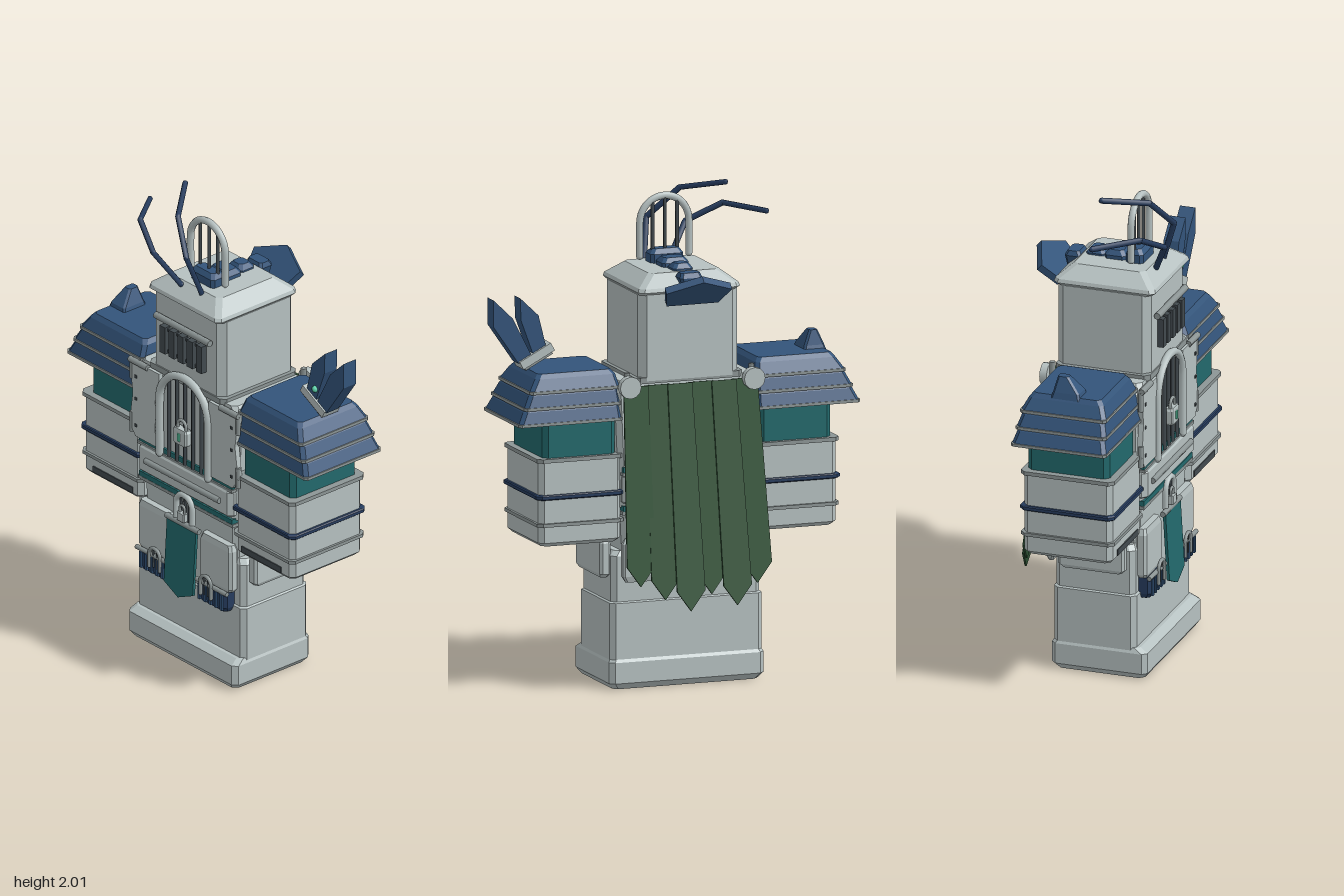
import * as THREE from 'three';

const paint = (name, color) => Object.assign(new THREE.MeshStandardMaterial({ color }), { name });

export function createModel() {
  const M = {
    stone: paint('pale stone', 0xb6c1c1), grey: paint('grey metal', 0x8d9696), dark: paint('dark iron', 0x424a4f),
    blue: paint('slate blue', 0x33547a), navy: paint('navy', 0x263c5e), teal: paint('teal cloth', 0x22696c),
    green: paint('green cloth', 0x2d5133), mint: paint('mint glow', 0x62dcb2),
  };
  M.green.side = M.teal.side = THREE.DoubleSide;
  const model = new THREE.Group();
  const body = new THREE.Group();
  body.name = 'figure';
  body.position.x = -0.025;
  model.add(body);

  const add = (name, geo, mat, x = 0, y = 0, z = 0) => {
    const m = new THREE.Mesh(geo, mat);
    m.name = name;
    m.position.set(x, y, z);
    body.add(m);
    return m;
  };
  const box = (name, mat, x, y, z, w, h, d) => add(name, new THREE.BoxGeometry(w, h, d), mat, x, y, z);

  // Chamfered block: eight-sided loops stacked upwards, rings = [y, width, depth, dx, dz]
  const block = (name, mat, x, z, rings, c = 0.02) => {
    const loops = rings.map(([y, w, d, dx = 0, dz = 0]) => {
      const a = w / 2, b = d / 2;
      return [[a, b - c], [a - c, b], [c - a, b], [-a, b - c], [-a, c - b], [c - a, -b], [a - c, -b], [a, c - b]]
        .map(([px, pz]) => [px + dx, y, pz + dz]);
    });
    const p = [];
    for (let k = 0; k + 1 < loops.length; k++) for (let i = 0; i < 8; i++) {
      const j = (i + 1) % 8, lo = loops[k], hi = loops[k + 1];
      p.push(...lo[i], ...hi[j], ...lo[j], ...lo[i], ...hi[i], ...hi[j]);
    }
    const lo = loops[0], hi = loops[loops.length - 1];
    for (let i = 1; i < 7; i++) p.push(...lo[0], ...lo[i], ...lo[i + 1], ...hi[0], ...hi[i + 1], ...hi[i]);
    const g = new THREE.BufferGeometry();
    g.setAttribute('position', new THREE.Float32BufferAttribute(p, 3));
    g.computeVertexNormals();
    return add(name, g, mat, x, 0, z);
  };

  // Flat polygon plate extruded along z
  const plate = (name, mat, pts, z, depth) => add(name, new THREE.ExtrudeGeometry(
    new THREE.Shape(pts.map(([x, y]) => new THREE.Vector2(x, y))), { depth, bevelEnabled: false }), mat, 0, 0, z);

  const rod = (name, mat, a, b, r, n = 8) => {
    const A = new THREE.Vector3(...a), B = new THREE.Vector3(...b), d = B.clone().sub(A);
    const m = add(name, new THREE.CylinderGeometry(r, r, d.length(), n), mat);
    m.position.copy(A).add(B).multiplyScalar(0.5);
    m.quaternion.setFromUnitVectors(new THREE.Vector3(0, 1, 0), d.normalize());
    return m;
  };

  // Arched tube with optional vertical bars inside
  const arch = (name, x, y0, top, z, R, r, bars = 0, mat = M.stone) => {
    const cy = top - R - r, pts = [new THREE.Vector3(R, y0, 0)];
    for (let i = 0; i <= 12; i++) {
      const a = Math.PI * i / 12;
      pts.push(new THREE.Vector3(R * Math.cos(a), cy + R * Math.sin(a), 0));
    }
    pts.push(new THREE.Vector3(-R, y0, 0));
    add(name, new THREE.TubeGeometry(new THREE.CatmullRomCurve3(pts), 60, r, 8), mat, x, 0, z);
    for (const s of [-1, 1]) add(name + 'End', new THREE.SphereGeometry(r, 8, 6), mat, x + s * R, y0, z);
    for (let i = 0; i < bars; i++) {
      const u = -R + 2 * R * (i + 1) / (bars + 1);
      rod(name + 'Bar', M.dark, [x + u, y0, z - r * 0.4], [x + u, cy + Math.sqrt(R * R - u * u), z - r * 0.4], r * 0.5, 6);
    }
  };

  // Base, legs and torso
  block('foot', M.stone, 0, 0.072, [[0, 0.62, 0.37], [0.025, 0.66, 0.405], [0.11, 0.66, 0.405], [0.13, 0.64, 0.36, 0, -0.01]]);
  block('lowerLegs', M.stone, 0, 0.052, [[0.12, 0.65, 0.35], [0.35, 0.65, 0.35], [0.355, 0.635, 0.335]]);
  block('upperLegs', M.stone, 0, 0.052, [[0.35, 0.635, 0.335], [0.54, 0.635, 0.335], [0.56, 0.6, 0.31]]);
  block('waist', M.stone, 0, 0.05, [[0.5, 0.54, 0.34], [0.75, 0.57, 0.36]]);
  block('torso', M.stone, 0, 0.05, [[0.74, 0.58, 0.38], [1.21, 0.62, 0.38], [1.25, 0.56, 0.37]]);
  block('collar', M.grey, 0, 0.05, [[1.24, 0.46, 0.4], [1.265, 0.46, 0.4]]);

  // Head with hipped roof
  block('head', M.stone, 0, 0.047, [[1.25, 0.425, 0.395], [1.6, 0.425, 0.395]], 0.03);
  block('roof', M.stone, 0, 0.052, [[1.595, 0.41, 0.39], [1.61, 0.435, 0.43], [1.625, 0.425, 0.42], [1.675, 0.3, 0.3]]);
  rod('browRail', M.grey, [-0.165, 1.5, 0.262], [0.165, 1.5, 0.262], 0.014);
  box('eyeGlow', M.mint, 0, 1.413, 0.247, 0.19, 0.025, 0.008);
  for (let i = -2; i <= 2; i++) box('visorBar', M.dark, i * 0.055, 1.413, 0.262, 0.034, 0.12, 0.026);
  for (const y of [1.365, 1.46]) box('visorCrossbar', M.dark, 0, y, 0.255, 0.25, 0.012, 0.014);
  arch('headCage', 0, 1.7, 1.955, 0.13, 0.105, 0.015, 3);

  // Crest blocks and rear fan
  [[0.128, 0.14, 0.075, 1.73], [0.042, 0.115, 0.09, 1.71], [-0.045, 0.085, 0.08, 1.702]].forEach(([z, w, d, top]) =>
    block('crestBlock', M.blue, 0, z, [[1.66, w, d], [top - 0.02, w, d], [top, w - 0.03, d - 0.03]], 0.012));
  block('crestRearBlock', M.blue, 0, -0.14, [[1.615, 0.07, 0.06], [1.66, 0.095, 0.07], [1.68, 0.08, 0.05]], 0.01);
  const fan = plate('crestFan', M.blue, [[-0.11, 0], [0.11, 0], [0.14, 0.1], [0, 0.17], [-0.14, 0.1]], 0, 0.03);
  fan.position.set(0, 1.555, -0.18);
  fan.rotation.x = -0.85;

  // Jointed antennae
  [[[-0.06, 1.665, 0.22], [-0.15, 1.795, 0.288], [-0.29, 1.87, 0.235], [-0.415, 1.857, 0.075]],
    [[0.055, 1.665, 0.21], [0.025, 1.83, 0.265], [-0.095, 1.952, 0.205], [-0.23, 1.993, 0.05]]].forEach(path => {
    for (let i = 0; i < 3; i++) rod('antenna', M.navy, path[i], path[i + 1], 0.012, 6);
    for (const q of path) add('antennaJoint', new THREE.SphereGeometry(0.012, 6, 4), M.navy, ...q);
  });

  // Mirrored arms, chest doors, skirt and hip plates
  for (const s of [-1, 1]) {
    const ax = s * 0.46;
    block('upperArm', M.teal, ax, 0.045, [[0.94, 0.31, 0.345], [1.12, 0.31, 0.345]]);
    block('sleeve', M.stone, ax, 0.05, [[0.68, 0.35, 0.375], [0.96, 0.35, 0.375]]);
    block('cuff', M.stone, ax, 0.05, [[0.605, 0.32, 0.35], [0.62, 0.35, 0.375], [0.69, 0.35, 0.375]]);
    block('sleeveTrim', M.grey, ax, 0.05, [[0.947, 0.37, 0.395], [0.963, 0.37, 0.395]]);
    block('cuffTrim', M.grey, ax, 0.05, [[0.686, 0.37, 0.395], [0.7, 0.37, 0.395]]);
    block('armBand', M.navy, ax, 0.05, [[0.796, 0.368, 0.393], [0.8, 0.378, 0.4], [0.812, 0.378, 0.4], [0.816, 0.368, 0.393]]);
    box('cuffSlot', M.dark, s * 0.45, 0.635, 0.238, 0.24, 0.026, 0.008);
    // Three stacked shoulder tiers, inner edge kept in line
    for (let i = 0; i < 3; i++) {
      const y = 1.105 + i * 0.063, out = 0.73 - i * 0.027, d = 0.405 - i * 0.02, w = out - 0.285;
      block('shoulderLip', M.grey, s * (0.285 + w / 2), 0.045, [[y - 0.005, w, d], [y + 0.007, w, d]], 0.012);
      const t = i === 2 ? 0.05 : 0.035;
      block('shoulderTier', M.blue, s * (0.285 + w / 2), 0.045, [[y + 0.007, w - 0.01, d - 0.008],
        [y + 0.052, w - t, d - t, -s * 0.01], [y + 0.07, w - t - 0.03, d - t - 0.03, -s * 0.01]], 0.015);
    }
    // Chest doors with hinges
    plate('chestDoor', M.stone, [[0.15, 0.9], [0.295, 0.9], [0.33, 0.95], [0.31, 1.09], [0.33, 1.235], [0.15, 1.235]]
      .map(([x, y]) => [s * x, y]), 0.235, 0.022);
    rod('doorHinge', M.grey, [s * 0.322, 0.91, 0.25], [s * 0.322, 1.0, 0.25], 0.01);
    rod('doorHinge', M.grey, [s * 0.322, 1.15, 0.25], [s * 0.322, 1.23, 0.25], 0.01);
    rod('shoulderRail', M.grey, [s * 0.22, 1.235, 0.255], [s * 0.33, 1.235, 0.255], 0.013);
    for (const y of [0.95, 1.07, 1.17]) box('doorRivet', M.dark, s * 0.29, y, 0.258, 0.012, 0.012, 0.006);
    // Skirt plate, ribbed pouch and small cage
    block('skirtPlate', M.stone, s * 0.188, 0.235, [[0.415, 0.17, 0.035], [0.43, 0.19, 0.045], [0.6, 0.19, 0.045], [0.625, 0.17, 0.035]], 0.01);
    block('pouch', M.navy, s * 0.178, 0.235, [[0.325, 0.155, 0.05], [0.345, 0.175, 0.07], [0.415, 0.175, 0.07]], 0.012);
    for (let i = 0; i < 5; i++) box('pouchRib', M.blue, s * (0.112 + i * 0.033), 0.37, 0.27, 0.014, 0.07, 0.012);
    rod('pouchRail', M.grey, [s * 0.09, 0.415, 0.268], [s * 0.275, 0.415, 0.268], 0.01);
    arch('pouchCage', s * 0.155, 0.365, 0.462, 0.277, 0.032, 0.008, 2, M.grey);
    // Hip plates on the sides and back
    block('sideHipPlate', M.stone, s * 0.335, 0.05, [[0.45, 0.03, 0.25], [0.465, 0.045, 0.28], [0.59, 0.045, 0.28], [0.615, 0.03, 0.26]], 0.01);
    block('backHipPlate', M.stone, s * 0.19, -0.15, [[0.44, 0.17, 0.02], [0.465, 0.2, 0.035], [0.595, 0.2, 0.035], [0.62, 0.17, 0.02]], 0.008);
    // Cape clasp
    add('capeClasp', new THREE.CylinderGeometry(0.045, 0.045, 0.03, 12), M.stone, s * 0.265, 1.235, -0.17).rotation.x = Math.PI / 2;
    rod('claspPin', M.grey, [s * 0.265, 1.2, -0.145], [s * 0.265, 1.29, -0.145], 0.012);
  }

  // Chest cage and lock
  arch('chestCage', 0, 0.885, 1.295, 0.257, 0.147, 0.017, 5);
  block('lockBody', M.stone, 0, 0.265, [[0.985, 0.07, 0.03], [0.995, 0.082, 0.036], [1.045, 0.082, 0.036], [1.055, 0.07, 0.03]], 0.006);
  arch('lockShackle', 0, 1.05, 1.098, 0.267, 0.025, 0.007, 0, M.grey);
  box('lockGlow', M.mint, 0, 1.02, 0.285, 0.012, 0.034, 0.006);

  // Belt
  block('belt', M.stone, 0, 0.05, [[0.755, 0.55, 0.4], [0.765, 0.57, 0.42], [0.865, 0.57, 0.42], [0.88, 0.55, 0.4]]);
  for (const y of [0.895, 0.737]) box('beltTealBand', M.teal, 0, y, 0.05, 0.565, 0.022, 0.398);
  box('beltTopTrim', M.grey, 0, 0.878, 0.05, 0.575, 0.012, 0.41);
  box('beltLowerTrim', M.grey, 0, 0.72, 0.05, 0.575, 0.014, 0.4);
  rod('beltRail', M.grey, [-0.225, 0.818, 0.264], [0.225, 0.818, 0.264], 0.013);

  // Loincloth hung from a small cage
  const cloth = plate('loincloth', M.teal, [[-0.088, 0], [-0.088, -0.285], [0, -0.325], [0.088, -0.285], [0.088, 0]], 0, 0.012);
  cloth.position.set(0, 0.625, 0.258);
  cloth.rotation.x = -0.06;
  rod('clothRail', M.grey, [-0.1, 0.625, 0.262], [0.1, 0.625, 0.262], 0.012);
  arch('buckleCage', 0, 0.635, 0.763, 0.255, 0.048, 0.013, 3);
  block('buckleLock', M.stone, 0, 0.265, [[0.64, 0.045, 0.025], [0.675, 0.045, 0.025]], 0.005);
  arch('buckleShackle', 0, 0.675, 0.712, 0.265, 0.014, 0.006, 0, M.grey);

  // Cape of pointed strips, swinging out towards the hem
  [[0.82, 0.135], [0.9, 0.158], [0.85, 0.145], [0.91, 0.16], [0.86, 0.15], [0.8, 0.135]].forEach(([len, tilt], i) => {
    const u = i / 5 * 2 - 1, t = 0.052, b = 0.06, x = u * 0.235, e = u * 0.25;
    const strip = plate('capeStrip', M.green, [[x - t, 0], [e - b, -len + 0.08], [e + 0.005, -len], [e + b, -len + 0.08], [x + t, 0]], 0, 0.008);
    strip.position.set(0, 1.235, -0.157 - (i % 2) * 0.008);
    strip.rotation.x = tilt;
  });

  // Left shoulder blades in a socket
  const socket = box('bladeSocket', M.stone, 0.59, 1.352, 0.05, 0.15, 0.035, 0.085);
  socket.rotation.z = -0.48;
  const rim = box('bladeSocketRim', M.grey, 0.583, 1.335, 0.05, 0.13, 0.02, 0.07);
  rim.rotation.z = -0.48;
  plate('innerBlade', M.blue, [[0.545, 1.375], [0.6, 1.35], [0.655, 1.5], [0.658, 1.59], [0.58, 1.515]], 0.02, 0.065);
  plate('outerBlade', M.blue, [[0.61, 1.355], [0.665, 1.325], [0.772, 1.48], [0.772, 1.59], [0.69, 1.51]], 0.02, 0.065);
  add('bladeGem', new THREE.SphereGeometry(0.014, 8, 6), M.mint, 0.6, 1.41, 0.086);

  // Right shoulder horn
  block('shoulderHorn', M.blue, -0.588, 0.042, [[1.29, 0.1, 0.125], [1.315, 0.085, 0.11], [1.375, 0.035, 0.045, 0, -0.02]], 0.008);

  return model;
}
